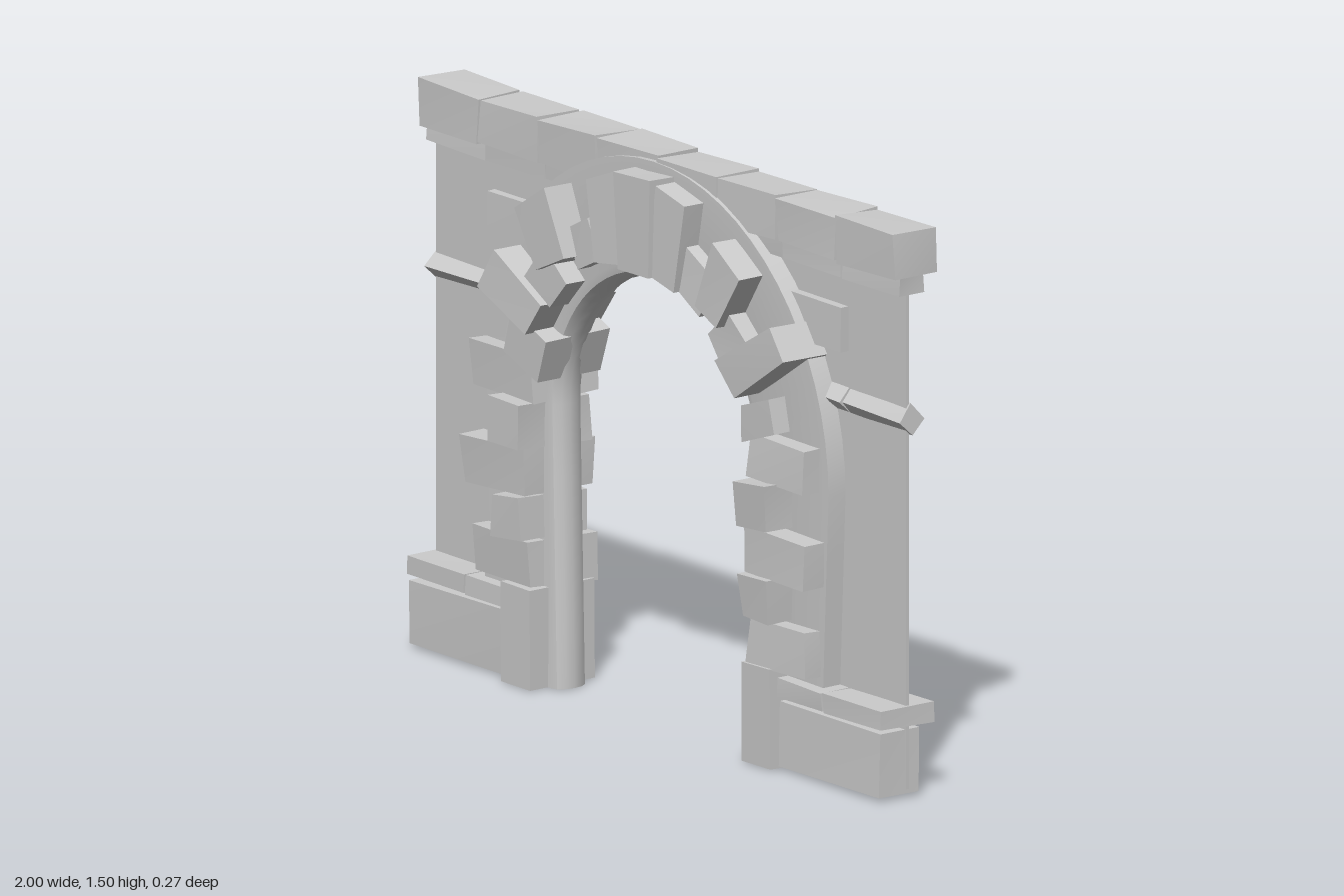
import * as THREE from 'three';
import { toCreasedNormals } from 'three/addons/utils/BufferGeometryUtils.js';

const mat = new THREE.MeshStandardMaterial({ color: 0xcccccc, side: THREE.DoubleSide });

// Small repeatable wobble for hand-cut stone
let seed = 7;
const wobble = (s) => {
  seed = (seed * 16807) % 2147483647;
  return (seed / 2147483647 - 0.5) * 2 * s;
};

// Stone with a four-cornered face (bottom left, bottom right, top right, top left)
function stone(group, name, [bl, br, tr, tl], zFront, zBack, jitter = 0.004) {
  const geo = new THREE.BoxGeometry(1, 1, 1);
  const shifts = Array.from({ length: 8 }, () => [wobble(jitter), wobble(jitter), wobble(jitter)]);
  const p = geo.attributes.position;
  for (let i = 0; i < p.count; i++) {
    const right = p.getX(i) > 0, top = p.getY(i) > 0, front = p.getZ(i) > 0;
    const c = top ? (right ? tr : tl) : (right ? br : bl);
    const s = shifts[(right ? 1 : 0) + (top ? 2 : 0) + (front ? 4 : 0)];
    p.setXYZ(i, c[0] + s[0], c[1] + s[1], (front ? zFront : zBack) + s[2]);
  }
  geo.computeVertexNormals();
  const mesh = new THREE.Mesh(geo, mat);
  mesh.name = name;
  group.add(mesh);
  return mesh;
}

const rect = (x0, x1, y0, y1) => [[x0, y0], [x1, y0], [x1, y1], [x0, y1]];

// Thin wall panel with an arched opening
function wall() {
  const s = new THREE.Shape();
  s.moveTo(-0.99, 0.02);
  s.lineTo(-0.5, 0.02);
  s.lineTo(-0.5, 0.75);
  s.absarc(0, 0.75, 0.5, Math.PI, 0, true);
  s.lineTo(0.5, 0.02);
  s.lineTo(0.99, 0.02);
  s.lineTo(0.99, 1.4);
  s.lineTo(-0.99, 1.4);
  const geo = new THREE.ExtrudeGeometry(s, { depth: 0.01, bevelEnabled: false, curveSegments: 24 });
  geo.translate(0, 0, -0.025);
  const mesh = new THREE.Mesh(geo, mat);
  mesh.name = 'wall';
  return mesh;
}

// Arch ring: one section (radius, z) swept up a leg, over the top and down
function archRing() {
  const section = [[0.455, 0.04], [0.435, 0.035], [0.422, 0.015], [0.418, -0.01],
    [0.422, -0.035], [0.435, -0.055], [0.455, -0.06], [0.735, -0.06], [0.735, 0.04]];
  const path = [];
  for (let i = 0; i < 4; i++) path.push([0, i * 0.1875]);
  for (let i = 0; i <= 32; i++) path.push([(Math.PI * i) / 32, 0.75]);
  for (let i = 3; i >= 0; i--) path.push([Math.PI, i * 0.1875]);
  const pos = [], index = [], n = section.length;
  path.forEach(([a, y], row) => {
    const lean = 1 - 0.045 * (0.75 - y) / 0.75;
    section.forEach(([r, z], k) => {
      pos.push(r * lean * Math.cos(a), y + r * Math.sin(a), z);
      if (row === path.length - 1) return;
      const p = row * n + k, q = row * n + (k + 1) % n;
      index.push(p, p + n, q, q, p + n, q + n);
    });
  });
  // Feet
  const last = (path.length - 1) * n;
  for (let k = 1; k < n - 1; k++) {
    index.push(0, k, k + 1, last, last + k + 1, last + k);
  }
  const geo = new THREE.BufferGeometry();
  geo.setAttribute('position', new THREE.Float32BufferAttribute(pos, 3));
  geo.setIndex(index);
  const mesh = new THREE.Mesh(toCreasedNormals(geo, 0.7), mat);
  mesh.name = 'archRing';
  return mesh;
}

// Face corners and front and back depth of each wedge stone, from left to right
const wedges = [
  [[[-0.56, 0.88], [-0.42, 0.82], [-0.38, 0.94], [-0.52, 1.0]], 0.10, -0.11],
  [[[-0.63, 1.04], [-0.43, 0.95], [-0.37, 1.04], [-0.56, 1.15]], 0.125, -0.12],
  [[[-0.47, 1.09], [-0.36, 1.03], [-0.29, 1.11], [-0.39, 1.19]], 0.10, -0.10],
  [[[-0.39, 1.13], [-0.27, 1.18], [-0.35, 1.36], [-0.48, 1.28]], 0.125, -0.11],
  [[[-0.27, 1.15], [-0.18, 1.19], [-0.225, 1.30], [-0.32, 1.245]], 0.08, -0.09],
  [[[-0.17, 1.19], [-0.04, 1.21], [-0.085, 1.45], [-0.21, 1.40]], 0.10, -0.12],
  [[[-0.06, 1.20], [0.07, 1.20], [0.085, 1.46], [-0.08, 1.455]], 0.115, -0.135],
  [[[0.05, 1.21], [0.16, 1.18], [0.21, 1.42], [0.085, 1.45]], 0.10, -0.12],
  [[[0.145, 1.19], [0.245, 1.13], [0.31, 1.24], [0.18, 1.31]], 0.08, -0.09],
  [[[0.265, 1.17], [0.365, 1.13], [0.46, 1.28], [0.345, 1.35]], 0.115, -0.12],
  [[[0.29, 1.10], [0.35, 1.02], [0.47, 1.09], [0.38, 1.17]], 0.09, -0.09],
  [[[0.37, 1.05], [0.44, 0.965], [0.655, 1.10], [0.60, 1.18]], 0.125, -0.12],
  [[[0.43, 0.94], [0.43, 0.84], [0.57, 0.89], [0.55, 0.98]], 0.09, -0.11],
];

export function createModel() {
  const root = new THREE.Group();
  root.name = 'stoneArchway';
  root.add(wall(), archRing());

  const arch = new THREE.Group();
  arch.name = 'archStones';
  root.add(arch);
  wedges.forEach(([corners, f, b]) => stone(arch, 'wedgeStone', corners, f, b));

  // Jamb stones, long and short in turn: outer x, inner x, bottom, top, front, back
  const jamb = [
    [0.70, 0.46, 0.265, 0.39, 0.09, -0.12],
    [0.58, 0.465, 0.39, 0.505, 0.12, -0.10],
    [0.715, 0.47, 0.505, 0.63, 0.11, -0.12],
    [0.58, 0.46, 0.635, 0.755, 0.13, -0.11],
    [0.70, 0.455, 0.76, 0.875, 0.09, -0.125],
  ];

  for (const side of [-1, 1]) {
    const group = new THREE.Group();
    group.name = side > 0 ? 'leftSide' : 'rightSide';
    root.add(group);
    const block = (name, xa, xb, y0, y1, f, b, j) => stone(group, name,
      rect(Math.min(side * xa, side * xb), Math.max(side * xa, side * xb), y0, y1), f, b, j);

    jamb.forEach((j) => block('jambStone', ...j, 0.008));
    block('pillarBase', 0.445, 0.565, 0, 0.265, 0.10, -0.11, 0.002);
    block('plinth', 0.55, 0.99, 0.01, 0.18, 0.07, -0.06, 0.005);
    block('plinthCap', 0.755, 0.998, 0.19, 0.24, 0.075, -0.10, 0.003);
    block('plinthCap', 0.56, 0.75, 0.19, 0.24, 0.075, -0.10, 0.003);
    block('wallStone', 0.50, 0.745, 1.13, 1.25, 0.01, -0.05, 0.002);

    // Square string course, turned on edge
    [[0.755, 0.998, 0], [0.54, 0.75, 0.005]].forEach(([x0, x1, dy]) => {
      const bar = block('stringCourse', x0, x1, -0.03, 0.03, 0.03, -0.03, 0.004);
      bar.rotation.x = 0.8;
      bar.position.set(0, 0.998 + dy, -0.028);
    });

    // Moulding under the coping, then the coping itself
    for (let i = 0; i < 4; i++) {
      const x0 = i * 0.25 + 0.003, x1 = x0 + 0.244;
      block('moulding', x0, x1, 1.33, 1.38, 0.01, -0.065, 0.003);
      block('copingStone', x0, x1, 1.375, 1.495, 0.031, -0.104, 0.006);
    }
  }
  return root;
}
